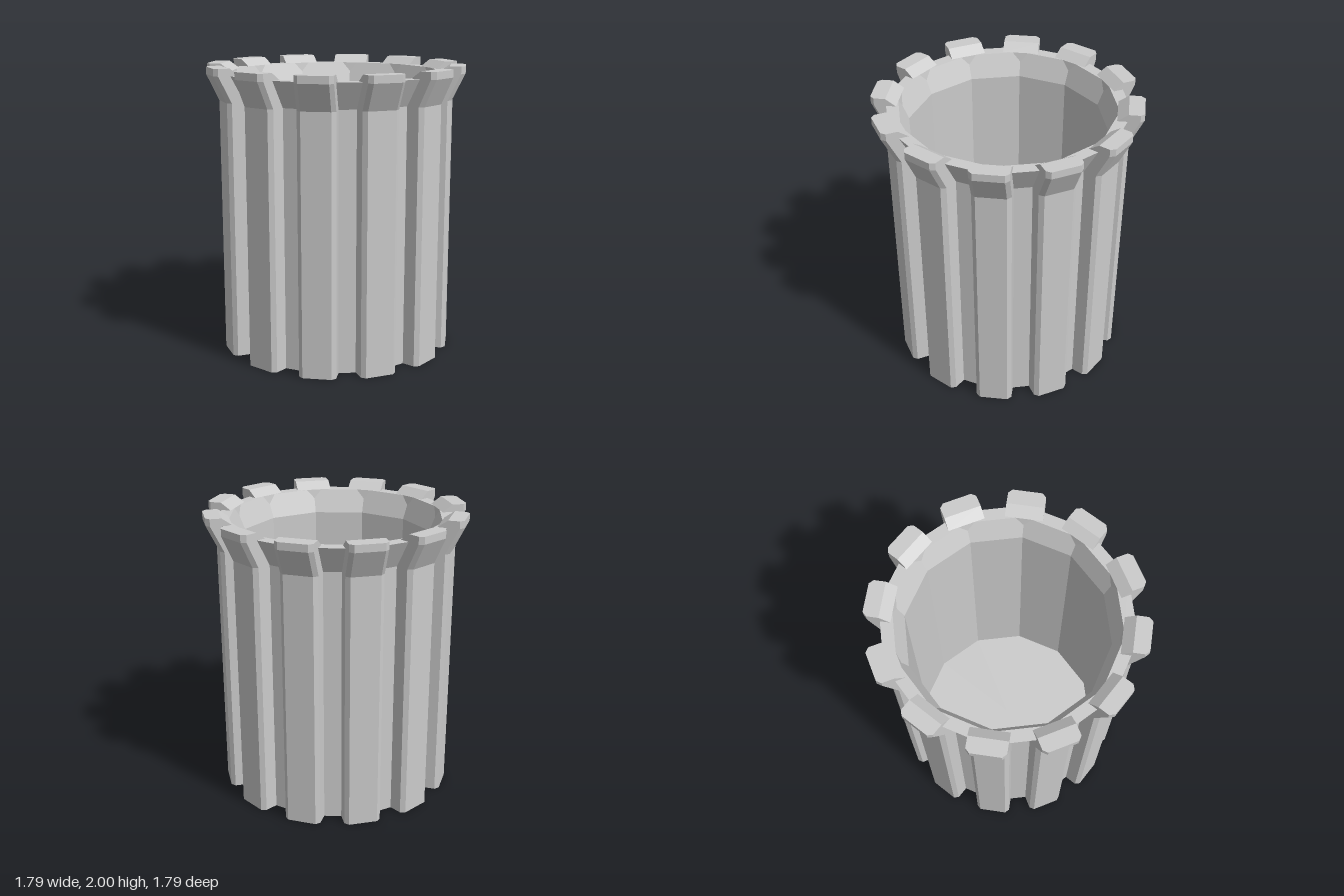
import * as THREE from 'three';

const SIDES = 12;

// Rib with a chamfered cross-section, lofted through [y, inner radius, outer radius]
function ribGeometry() {
  const w = 0.125, c = 0.027;
  const levels = [[0, 0.69, 0.808], [1.77, 0.69, 0.808], [1.95, 0.72, 0.895], [2, 0.79, 0.895]];
  const pos = [], idx = [], n = 6;
  for (const [y, a, b] of levels) {
    const ring = [[-w, a], [-w, b - c], [c - w, b], [w - c, b], [w, b - c], [w, a]];
    for (const [x, z] of ring) pos.push(x, y, z);
  }
  for (let k = 0; k < levels.length - 1; k++) {
    for (let i = 0; i < n; i++) {
      const p = k * n + i, q = k * n + (i + 1) % n;
      idx.push(p, q, q + n, p, q + n, p + n);
    }
  }
  // End caps
  const t = (levels.length - 1) * n;
  for (let i = 1; i < n - 1; i++) idx.push(0, i + 1, i, t, t + i, t + i + 1);
  const g = new THREE.BufferGeometry();
  g.setAttribute('position', new THREE.Float32BufferAttribute(pos, 3));
  g.setIndex(idx);
  const flat = g.toNonIndexed();
  flat.computeVertexNormals();
  return flat;
}

export function createModel() {
  const model = new THREE.Group();
  model.name = 'ribbedCup';
  const material = new THREE.MeshStandardMaterial({ color: 0xcccccc, flatShading: true });

  // Hollow twelve-sided body with a flared rim
  const profile = [
    [0, 0], [0.725, 0], [0.725, 1.77], [0.82, 1.95],
    [0.735, 1.95], [0.67, 1.79], [0.67, 0.06], [0, 0.06],
  ].map(([r, y]) => new THREE.Vector2(r, y));
  const body = new THREE.Mesh(new THREE.LatheGeometry(profile, SIDES), material);
  body.name = 'cupBody';
  model.add(body);

  // Ribs around the outside, one on each corner of the body
  const ribs = new THREE.Group();
  ribs.name = 'ribs';
  const geometry = ribGeometry();
  for (let i = 0; i < SIDES; i++) {
    const rib = new THREE.Mesh(geometry, material);
    rib.name = 'rib' + (i + 1);
    rib.rotation.y = (i / SIDES) * Math.PI * 2;
    ribs.add(rib);
  }
  model.add(ribs);
  model.position.z = -0.005;
  return model;
}
